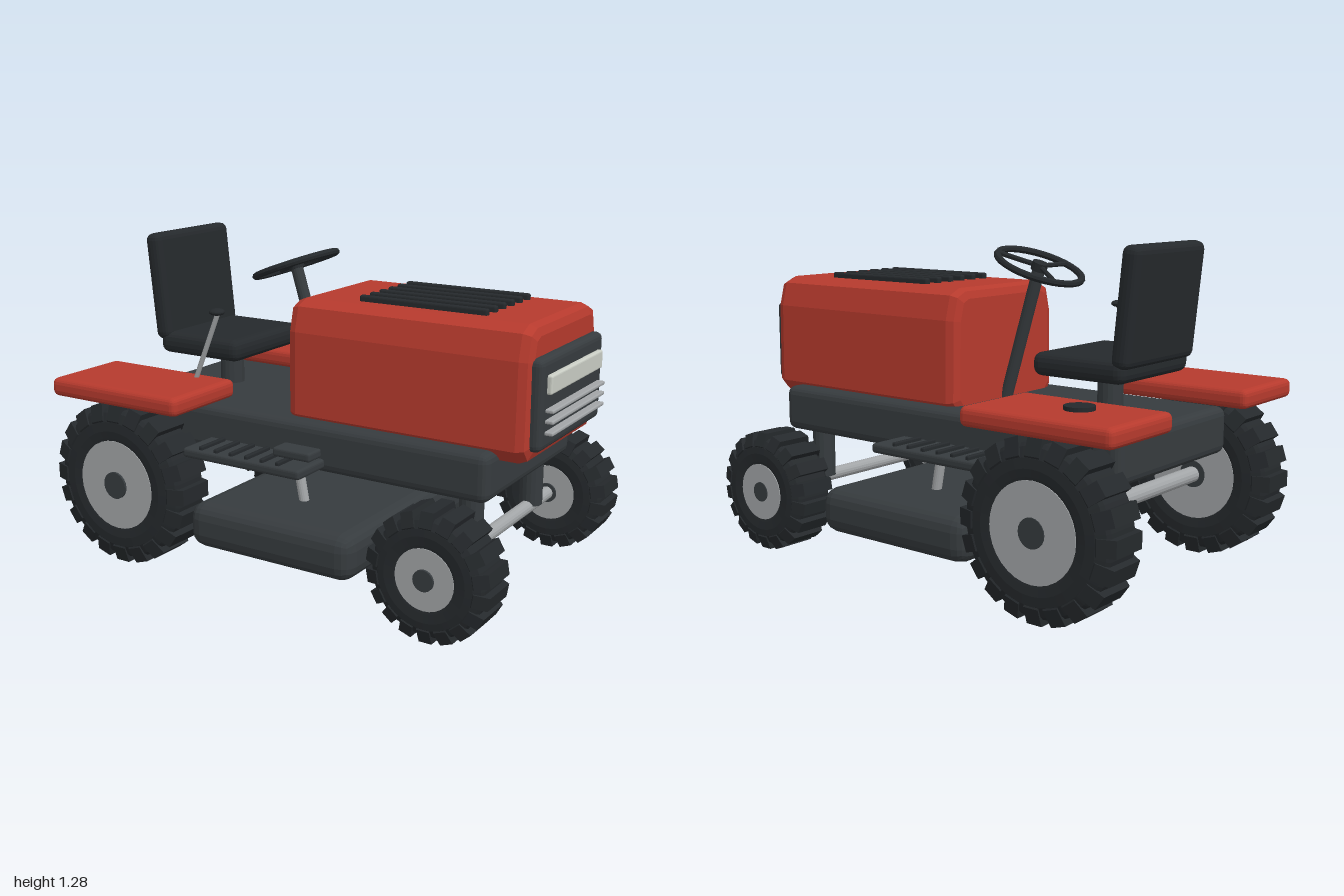
import * as THREE from 'three';
import { RoundedBoxGeometry } from 'three/addons/geometries/RoundedBoxGeometry.js';

const mat = (color) => new THREE.MeshStandardMaterial({ color, flatShading: true });

export function createModel() {
  const model = new THREE.Group();
  model.name = 'ridingMower';
  const red = mat(0xb63a2d), dark = mat(0x363b3e), black = mat(0x25292c);
  const metal = mat(0xa2a5a7), lamp = mat(0xc9cdc4);

  const add = (name, geo, material, parent = model) => {
    const mesh = new THREE.Mesh(geo, material);
    mesh.name = name;
    parent.add(mesh);
    return mesh;
  };
  // Soft-edged box given by its min and max on each axis
  const box = (name, [x0, x1], [y0, y1], [z0, z1], r, material) => {
    const m = add(name, new RoundedBoxGeometry(x1 - x0, y1 - y0, z1 - z0, 2, r), material);
    m.position.set((x0 + x1) / 2, (y0 + y1) / 2, (z0 + z1) / 2);
    return m;
  };
  // Cylinder between two points
  const rod = (name, a, b, r, material, parent = model, sides = 16) => {
    const p = new THREE.Vector3(...a), q = new THREE.Vector3(...b);
    const m = add(name, new THREE.CylinderGeometry(r, r, p.distanceTo(q), sides), material, parent);
    m.position.copy(p).add(q).multiplyScalar(0.5);
    m.quaternion.setFromUnitVectors(new THREE.Vector3(0, 1, 0), q.sub(p).normalize());
    return m;
  };

  // Chassis and cutting deck
  box('chassis', [-0.86, 0.82], [0.455, 0.64], [-0.38, 0.38], 0.035, dark);
  box('cuttingDeck', [-0.35, 0.39], [0.13, 0.31], [-0.6, 0.6], 0.06, dark);

  // Hood: chamfered cross-section extruded along x
  const half = [[0.28, 0.6], [0.32, 0.65], [0.315, 0.97], [0.29, 1.065], [0.235, 1.09]];
  const outline = [...half, ...half.map(([z, y]) => [-z, y]).reverse()];
  const hoodGeo = new THREE.ExtrudeGeometry(
    new THREE.Shape(outline.map(([z, y]) => new THREE.Vector2(z, y))),
    { depth: 0.92, bevelThickness: 0.042, bevelSize: 0.04, bevelOffset: -0.04, bevelSegments: 2 });
  hoodGeo.rotateY(Math.PI / 2).translate(-0.027, 0, 0);
  add('hood', hoodGeo, red);
  for (let i = 0; i < 6; i++) {
    const z = -0.18 + i * 0.071;
    box('hoodVent', [0.18, 0.71], [1.07, 1.113], [z - 0.013, z + 0.013], 0.008, black);
  }

  // Front grille, headlight and trim bars
  box('grille', [0.9, 0.97], [0.645, 0.98], [-0.285, 0.285], 0.025, dark);
  box('headlight', [0.95, 0.988], [0.85, 0.92], [-0.24, 0.24], 0.008, lamp);
  for (const y of [0.712, 0.754, 0.793])
    box('grilleBar', [0.95, 1], [y - 0.007, y + 0.007], [-0.245, 0.245], 0.005, metal);

  // Steering column and wheel
  rod('steeringColumn', [-0.06, 0.6, 0], [-0.235, 1.17, 0], 0.025, dark);
  const steering = new THREE.Group();
  steering.name = 'steeringWheel';
  steering.position.set(-0.235, 1.17, 0);
  steering.rotation.z = 0.36;
  model.add(steering);
  add('steeringRim', new THREE.TorusGeometry(0.17, 0.014, 8, 32).rotateX(Math.PI / 2), black, steering);
  rod('steeringHub', [0, -0.018, 0], [0, 0.015, 0], 0.032, black, steering);
  for (let i = 0; i < 3; i++) {
    const a = Math.PI / 2 + i * Math.PI * 2 / 3;
    rod('steeringSpoke', [0, 0, 0], [0.17 * Math.cos(a), 0, 0.17 * Math.sin(a)], 0.01, black, steering, 8);
  }

  // Seat
  rod('seatPedestal', [-0.57, 0.62, 0], [-0.57, 0.8, 0], 0.05, dark);
  box('seatCushion', [-0.77, -0.37], [0.785, 0.875], [-0.235, 0.235], 0.035, black);
  const back = box('seatBack', [-0.81, -0.735], [0.84, 1.28], [-0.238, 0.238], 0.03, black);
  back.rotation.z = 0.1;

  // Fuel cap and gear lever
  rod('fuelCap', [-0.73, 0.72, -0.43], [-0.73, 0.745, -0.43], 0.056, black, model, 24);
  rod('lever', [-0.515, 0.72, 0.315], [-0.395, 1.0, 0.315], 0.01, metal);
  const knob = add('leverKnob', new THREE.SphereGeometry(0.032, 16, 10), black);
  knob.scale.y = 0.45;
  knob.position.set(-0.393, 1.01, 0.32);

  // Axles
  rod('frontAxle', [0.71, 0.245, -0.5], [0.71, 0.245, 0.5], 0.027, metal);
  rod('rearAxle', [-0.68, 0.33, -0.5], [-0.68, 0.33, 0.5], 0.032, metal);

  // Wheel: turned tyre, chamfered lugs, rim and hub
  const wheel = (name, x, z, radius, w, rim, hub, lugs) => {
    const g = new THREE.Group();
    g.name = name;
    g.position.set(x, radius + 0.012, z);
    model.add(g);
    const r = radius - 0.012;
    const profile = [[rim - 0.01, -w * 0.92], [rim + 0.01, -w * 0.96], [r * 0.72, -w], [r * 0.84, -w * 0.97],
      [r * 0.96, -w * 0.83], [r, -w * 0.7]];
    const points = [...profile, ...profile.map(([a, b]) => [a, -b]).reverse()];
    add('tyre', new THREE.LatheGeometry(points.map((p) => new THREE.Vector2(...p)), 40).rotateX(Math.PI / 2), black, g);
    const R = radius + 0.01, t = Math.PI * 2 * radius / lugs * 0.62;
    const lugShape = new THREE.Shape([[-w * 0.9, r * 0.8], [w * 0.9, r * 0.8], [w, r * 0.86],
      [w * 0.78, R], [-w * 0.78, R], [-w, r * 0.86]].map((p) => new THREE.Vector2(...p)));
    const lugGeo = new THREE.ExtrudeGeometry(lugShape, { depth: t, bevelEnabled: false });
    lugGeo.translate(0, 0, -t / 2).rotateY(Math.PI / 2);
    for (let i = 0; i < lugs; i++)
      add('treadLug', lugGeo, black, g).rotation.z = (i / lugs) * Math.PI * 2;
    rod('rim', [0, 0, -w * 0.97], [0, 0, w * 0.97], rim, metal, g, 32);
    rod('hub', [0, 0, -w * 0.99], [0, 0, w * 1.04], hub, dark, g, 20).scale.y = 1.02;
  };

  // Parts repeated on both sides
  for (const s of [1, -1]) {
    const span = (a, b) => (s > 0 ? [a, b] : [-b, -a]);
    wheel('rearWheel', -0.68, s * 0.537, 0.319, 0.098, 0.182, 0.055, 20);
    wheel('frontWheel', 0.71, s * 0.53, 0.232, 0.096, 0.115, 0.04, 18);
    box('fender', [-1, -0.36], [0.655, 0.73], span(0.255, 0.638), 0.025, red);
    rod('axleStrut', [0.71, 0.25, s * 0.268], [0.71, 0.5, s * 0.268], 0.046, dark);
    rod('deckHanger', [-0.02, 0.5, s * 0.325], [0.02, 0.29, s * 0.325], 0.02, metal);
    box('footrest', [-0.4, 0.145], [0.475, 0.513], span(0.34, 0.552), 0.012, dark);
    for (let i = 0; i < 6; i++) {
      const x = -0.32 + i * 0.072;
      box('footrestRib', [x - 0.009, x + 0.009], [0.5, 0.527], span(0.39, 0.54), 0.005, black);
    }
  }

  // Brake pedal
  box('pedal', [0.02, 0.185], [0.548, 0.583], [0.455, 0.54], 0.01, dark);
  rod('pedalArm', [0.06, 0.5, 0.4], [0.08, 0.56, 0.48], 0.014, metal);

  return model;
}
